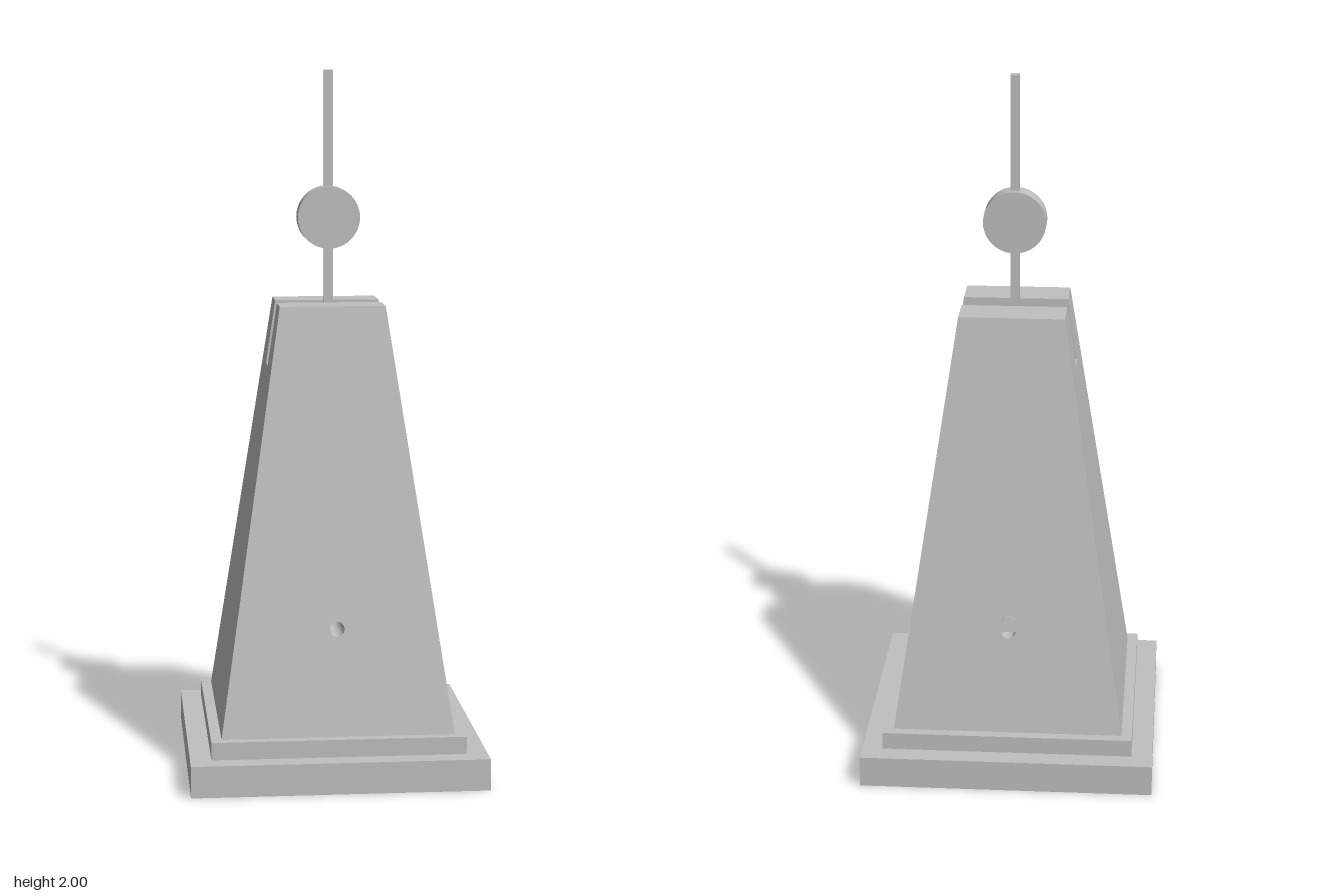
import * as THREE from 'three';

const TOP = 1.34, FOOT = 0.14, SLOT = 0.037, SLOT_FLOOR = 1.16, POCKET_FLOOR = 1.08, POCKET_X = 0.136;

// Half width of the tapering tower at height y
const half = (y) => 0.33 - (y - FOOT) * 0.15;

export function createModel() {
  const model = new THREE.Group();
  const grey = new THREE.MeshStandardMaterial({ color: 0xc0c0c0, side: THREE.DoubleSide });

  const add = (name, geometry, x = 0, y = 0, z = 0) => {
    const mesh = new THREE.Mesh(geometry, grey);
    mesh.name = name;
    mesh.position.set(x, y, z);
    model.add(mesh);
    return mesh;
  };

  const polygon = (points) => new THREE.Shape(points.map(([x, y]) => new THREE.Vector2(x, y)));
  const trapezoid = (y0, y1) => polygon([
    [-half(y0), y0], [half(y0), y0], [half(y1), y1], [-half(y1), y1],
  ]);

  // Extrude a shape over t = 0..1 and place each vertex at z = place(t, y)
  const slab = (shape, place) => {
    const geometry = new THREE.ExtrudeGeometry(shape, { depth: 1, bevelEnabled: false, curveSegments: 16 });
    const p = geometry.attributes.position;
    for (let i = 0; i < p.count; i++) p.setZ(i, place(p.getZ(i), p.getY(i)));
    geometry.computeVertexNormals();
    return geometry;
  };

  // Stepped base
  add('basePlinth', new THREE.BoxGeometry(0.84, 0.09, 0.84), 0, 0.045);
  add('baseStep', new THREE.BoxGeometry(0.72, 0.05, 0.72), 0, 0.115);

  // Tapered tower with a round hole from front to back
  const towerShape = trapezoid(FOOT, POCKET_FLOOR);
  towerShape.holes.push(new THREE.Path().absarc(0, 0.44, 0.021, 0, Math.PI * 2, true));
  add('tower', slab(towerShape, (t, y) => (2 * t - 1) * half(y)));

  // Jaws in front of and behind the slot
  const jawShape = trapezoid(POCKET_FLOOR, TOP);
  add('frontJaw', slab(jawShape, (t, y) => SLOT + t * (half(y) - SLOT)));
  add('backJaw', slab(jawShape, (t, y) => -half(y) + t * (half(y) - SLOT)));

  // Sills at both ends of the slot, around the pocket for the rod
  for (const [name, s] of [['leftSill', 1], ['rightSill', -1]]) {
    const sill = polygon([
      [s * POCKET_X, POCKET_FLOOR], [s * half(POCKET_FLOOR), POCKET_FLOOR],
      [s * half(SLOT_FLOOR), SLOT_FLOOR], [s * POCKET_X, SLOT_FLOOR],
    ]);
    add(name, slab(sill, (t) => (2 * t - 1) * SLOT));
  }

  // Pendulum: square rod, sliding round weight and pivot pin
  add('pendulumRod', new THREE.BoxGeometry(0.025, 0.88, 0.025), 0, 1.56);
  add('weight', new THREE.CylinderGeometry(0.089, 0.089, 0.06, 48), 0, 1.582).rotation.x = Math.PI / 2;
  add('pivotPin', new THREE.CylinderGeometry(0.007, 0.007, 0.09, 16), 0, 1.28).rotation.x = Math.PI / 2;

  // Small winding key on the back, over the upper half of the hole
  const key = polygon([[-0.021, 0.44], [0.021, 0.44], [0.021, 0.465]]);
  key.absarc(0, 0.465, 0.021, 0, Math.PI, false);
  add('windingKey', slab(key, (t, y) => -half(y) - 0.003 + t * 0.006));

  return model;
}
